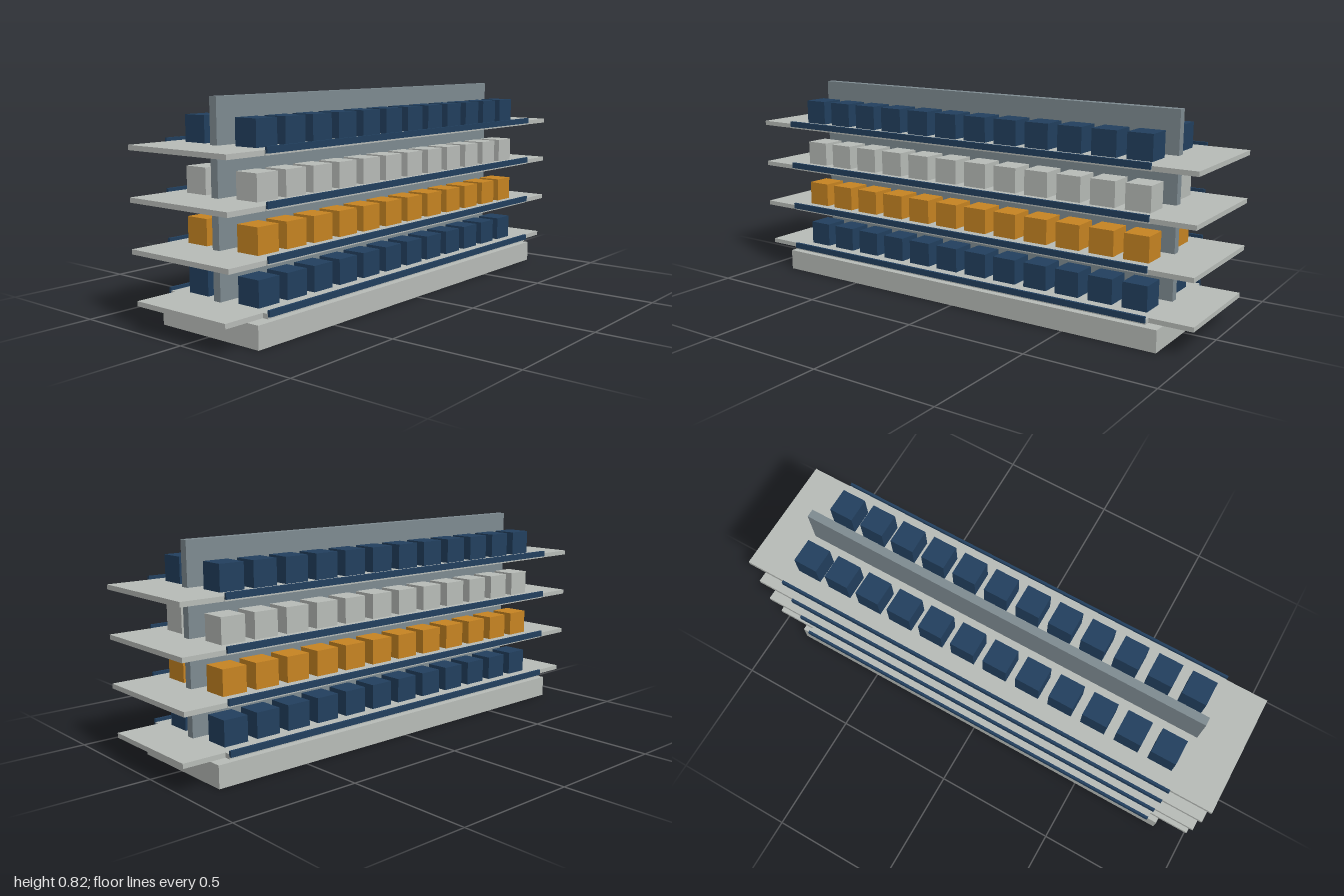
import * as THREE from 'three';

const material = (name, color) => {
  const m = new THREE.MeshStandardMaterial({ color });
  m.name = name;
  return m;
};

export function createModel() {
  const model = new THREE.Group();
  model.name = 'shelfUnit';
  const grey = material('light grey', 0xb9bdb9);
  const slate = material('slate grey', 0x7f8c92);
  const navy = material('navy blue', 0x22405f);
  const orange = material('orange', 0xc88522);

  // Box given by its size, centre x and z, and underside y
  const addBox = (parent, name, mat, w, h, d, x, y, z) => {
    const mesh = new THREE.Mesh(new THREE.BoxGeometry(w, h, d), mat);
    mesh.name = name;
    mesh.position.set(x, y + h / 2, z);
    parent.add(mesh);
  };

  // Plinth and central divider
  addBox(model, 'base', grey, 0.478, 0.084, 1.75, 0, 0, 0);
  addBox(model, 'spine', slate, 0.033, 0.732, 1.668, 0, 0.084, 0);

  // Four tiers, each with a deck, end plates, edge rails and two rows of boxes
  [navy, orange, grey, navy].forEach((goods, i) => {
    const tier = new THREE.Group();
    tier.name = `tier${i + 1}`;
    tier.position.y = 0.097 + i * 0.179;
    model.add(tier);

    addBox(tier, 'shelf', grey, 0.488, 0.018, 1.668, 0, 0, 0);
    const endWidth = i === 0 ? 0.44 : 0.48;
    for (const side of [-1, 1]) {
      addBox(tier, 'endShelf', grey, endWidth, 0.018, 0.166, 0, 0, side * 0.917);
      addBox(tier, 'rail', navy, 0.01, 0.023, 1.668, side * 0.247, 0.007, 0);
      for (let n = 0; n < 12; n++) {
        addBox(tier, 'storedBox', goods, 0.098, 0.096, 0.098, side * 0.125, 0.018, (n - 5.5) * 0.1377);
      }
    }
  });
  return model;
}
